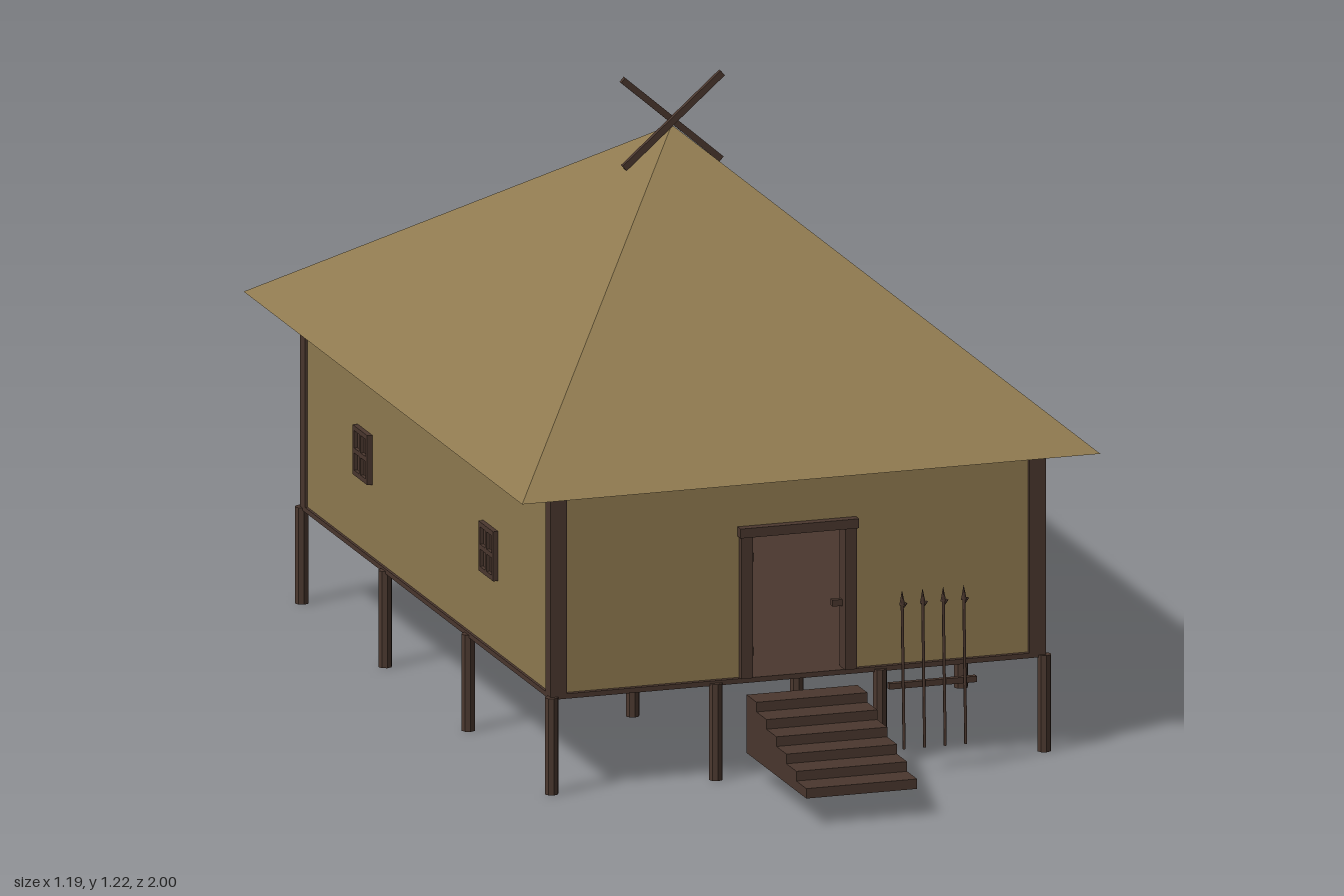
import * as THREE from 'three';

const thatch = new THREE.MeshStandardMaterial({ color: 0x8f7a50 });
thatch.name = 'thatch';
const wood = new THREE.MeshStandardMaterial({ color: 0x4a372e });
wood.name = 'dark wood';

export function createModel() {
  const model = new THREE.Group();
  model.name = 'stiltHouse';

  const add = (geo, mat, name, x = 0, y = 0, z = 0, parent = model) => {
    const mesh = new THREE.Mesh(geo, mat);
    mesh.name = name;
    mesh.position.set(x, y, z);
    parent.add(mesh);
    return mesh;
  };
  // Box given by its two opposite corners
  const box = (mat, name, x0, x1, y0, y1, z0, z1, parent = model) =>
    add(new THREE.BoxGeometry(x1 - x0, y1 - y0, z1 - z0), mat, name,
      (x0 + x1) / 2, (y0 + y1) / 2, (z0 + z1) / 2, parent);
  const group = (name, x = 0, y = 0, z = 0) => {
    const g = new THREE.Group();
    g.name = name;
    g.position.set(x, y, z);
    model.add(g);
    return g;
  };

  // Four by four grid of stilts
  const stilts = group('stilts');
  const stiltGeo = new THREE.CylinderGeometry(0.014, 0.014, 0.195, 8).toNonIndexed();
  stiltGeo.computeVertexNormals();
  for (let i = 0; i < 4; i++) {
    for (let j = 0; j < 4; j++) {
      add(stiltGeo, wood, 'stilt', -0.507 + i * 0.338, 0.0975, 0.612 - j * 0.506, stilts);
    }
  }

  // Floor slab
  box(wood, 'floor', -0.51, 0.51, 0.19, 0.2, -0.91, 0.615);

  // Front wall with the doorway cut out of its lower edge
  const front = new THREE.Shape();
  [[-0.5, 0.2], [-0.1, 0.2], [-0.1, 0.49], [0.1, 0.49], [0.1, 0.2], [0.5, 0.2], [0.5, 0.61], [-0.5, 0.61]]
    .forEach(([x, y], i) => (i ? front.lineTo(x, y) : front.moveTo(x, y)));
  front.closePath();
  add(new THREE.ExtrudeGeometry(front, { depth: 0.015, bevelEnabled: false }), thatch, 'frontWall', 0, 0, 0.59);
  box(thatch, 'backWall', -0.5, 0.5, 0.2, 0.61, -0.9, -0.885);
  for (const s of [-1, 1]) {
    add(new THREE.BoxGeometry(0.015, 0.41, 1.475), thatch, 'sideWall', s * 0.497, 0.405, -0.1475);
  }

  // Corner posts and top beams
  for (const s of [-1, 1]) {
    for (const z of [0.599, -0.894]) {
      add(new THREE.BoxGeometry(0.034, 0.41, 0.032), wood, 'cornerPost', s * 0.493, 0.405, z);
    }
    add(new THREE.BoxGeometry(0.02, 0.02, 1.5), wood, 'sideBeam', s * 0.499, 0.6, -0.1475);
  }
  for (const z of [0.602, -0.897]) {
    add(new THREE.BoxGeometry(1.0, 0.02, 0.02), wood, 'endBeam', 0, 0.6, z);
  }

  // Hipped roof: a box whose top corners meet at the apex, closed below
  const apex = new THREE.Vector3(0, 1.112, -0.155);
  const corners = [[-0.595, 0.693], [0.595, 0.693], [0.595, -1], [-0.595, -1]]
    .map(([x, z]) => new THREE.Vector3(x, 0.612, z));
  const points = [];
  corners.forEach((c, i) => points.push(c, corners[(i + 1) % 4], apex));
  points.push(corners[0], corners[2], corners[1], corners[0], corners[3], corners[2]);
  const roofGeo = new THREE.BufferGeometry().setFromPoints(points);
  roofGeo.computeVertexNormals();
  add(roofGeo, thatch, 'roof');

  // Crossed gable poles at the apex
  for (const s of [-1, 1]) {
    const pole = add(new THREE.BoxGeometry(0.268, 0.013, 0.01), wood, 'crossedPole', 0, 1.123, -0.152 + s * 0.004);
    pole.rotation.z = s * 0.715;
  }

  // Windows on both long sides: recessed panel, frame and cross bars
  for (const s of [-1, 1]) {
    for (const z of [0.235, -0.53]) {
      const win = group('window', s * 0.509, 0.395, z);
      add(new THREE.BoxGeometry(0.006, 0.09, 0.08), wood, 'windowPanel', -s * 0.004, 0, 0, win);
      for (const k of [-1, 0, 1]) {
        add(new THREE.BoxGeometry(0.012, 0.1, 0.01), wood, 'uprightBar', 0, 0, k * 0.04, win);
        add(new THREE.BoxGeometry(0.012, 0.01, 0.09), wood, 'crossBar', 0, k * 0.045, 0, win);
      }
    }
  }

  // Door frame
  for (const s of [-1, 1]) {
    add(new THREE.BoxGeometry(0.024, 0.29, 0.036), wood, 'doorPost', s * 0.107, 0.345, 0.602);
  }
  box(wood, 'doorLintel', -0.122, 0.122, 0.485, 0.504, 0.58, 0.624);
  box(wood, 'doorLatch', 0.075, 0.096, 0.325, 0.338, 0.59, 0.602);

  // Door swung inward, with two hinge straps
  const door = group('door', -0.095, 0, 0.59);
  door.rotation.y = 1.46;
  box(wood, 'doorLeaf', 0, 0.185, 0.21, 0.475, -0.006, 0.006, door);
  for (const y of [0.245, 0.435]) box(wood, 'hingeStrap', 0, 0.1, y - 0.008, y + 0.008, 0.004, 0.012, door);

  // Table inside the house
  const table = group('table', 0, 0, -0.1);
  box(wood, 'tableTop', -0.09, 0.09, 0.294, 0.304, -0.1, 0.1, table);
  for (const x of [-0.077, 0.077]) {
    for (const z of [-0.085, 0.085]) {
      box(wood, 'tableLeg', x - 0.007, x + 0.007, 0.2, 0.294, z - 0.007, z + 0.007, table);
    }
  }

  // Solid stairs cut from one stepped profile
  const steps = new THREE.Shape();
  steps.moveTo(0.637, 0.055);
  steps.lineTo(1, 0.055);
  for (let i = 0; i < 6; i++) {
    const y = 0.075 + i * 0.0195;
    steps.lineTo(1 - i * 0.0605, y);
    steps.lineTo(1 - (i + 1) * 0.0605, y);
  }
  steps.closePath();
  const stairs = add(new THREE.ExtrudeGeometry(steps, { depth: 0.228, bevelEnabled: false }), wood, 'stairs', 0.114);
  stairs.rotation.y = -Math.PI / 2;

  // Rack bar with four leaning barbed spears
  box(wood, 'spearRack', 0.16, 0.34, 0.174, 0.186, 0.684, 0.696);
  for (let i = 0; i < 4; i++) {
    const spear = group('spear', 0.186 + i * 0.0423, 0.055, 0.708);
    spear.rotation.x = -0.04;
    add(new THREE.CylinderGeometry(0.003, 0.003, 0.295, 6), wood, 'shaft', 0, 0.1475, 0, spear);
    const head = add(new THREE.ConeGeometry(0.006, 0.03, 4), wood, 'spearHead', 0, 0.303, 0, spear);
    head.scale.z = 0.6;
    const barb = add(new THREE.ConeGeometry(0.003, 0.018, 4), wood, 'barb', 0.004, 0.284, 0, spear);
    barb.rotation.z = Math.PI - 0.5;
  }

  // Shift the stairs so their outer side lines up with the doorway
  stairs.position.x = 0.114;
  return model;
}
